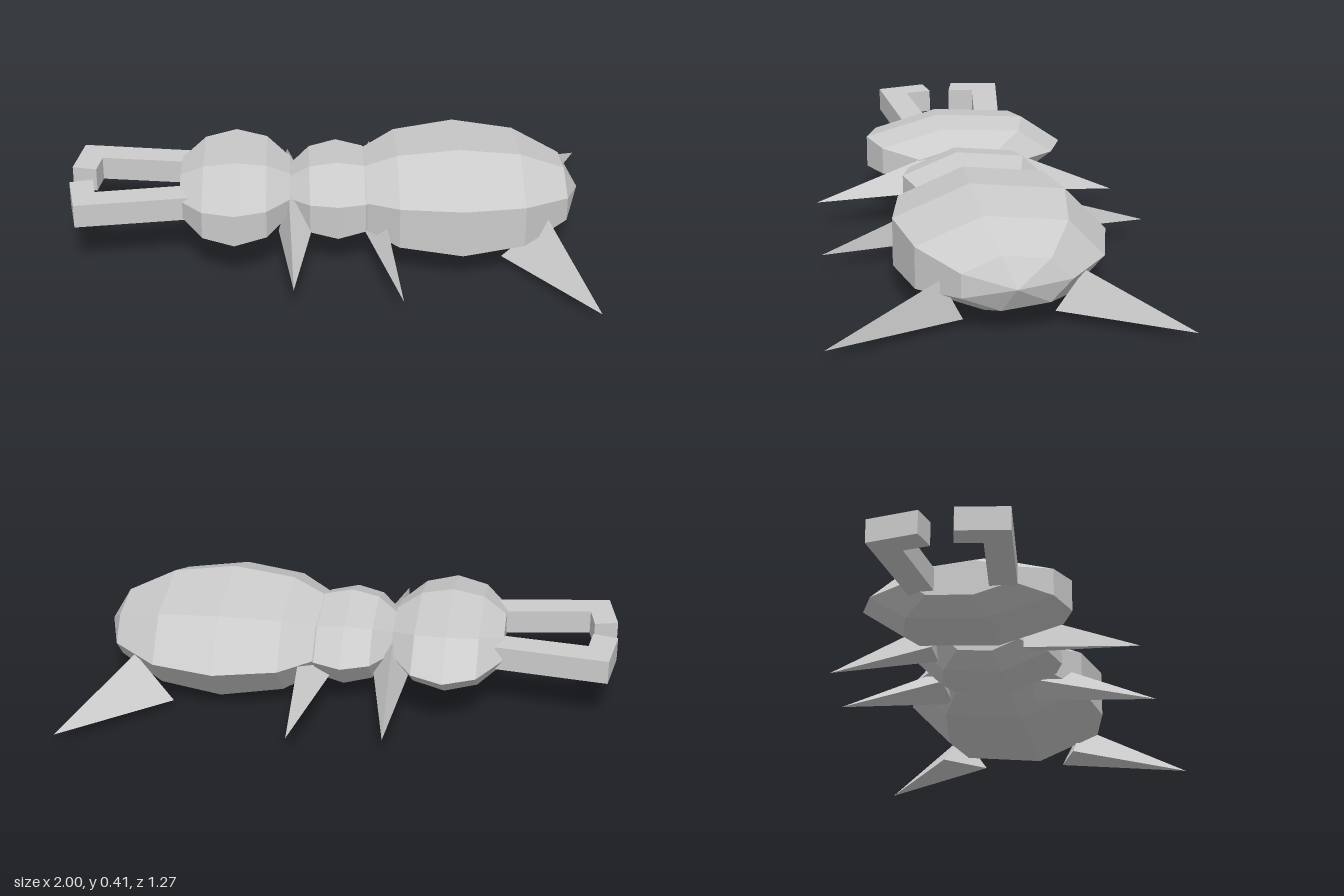
import * as THREE from 'three';
import { ConvexGeometry } from 'three/addons/geometries/ConvexGeometry.js';

const material = new THREE.MeshStandardMaterial({ color: 0xcccccc, flatShading: true });

// Seven-sided faceted ellipsoid lying along x; cap is the reach of its poles
function bodySegment(name, center, radii, cap) {
  const profile = [
    [0, -cap[0]], [0.5, -0.87], [0.866, -0.5], [1, 0], [0.866, 0.5], [0.5, 0.87], [0, cap[1]],
  ].map(([r, y]) => new THREE.Vector2(r, y));
  const geometry = new THREE.LatheGeometry(profile, 7, Math.PI);
  geometry.rotateZ(-Math.PI / 2).scale(...radii).translate(...center);
  const mesh = new THREE.Mesh(geometry, material);
  mesh.name = name;
  return mesh;
}

// Three-sided spike from a buried base triangle to its tip
function spikeLeg(name, tip, base) {
  const points = [tip, ...base].map((p) => new THREE.Vector3(...p));
  const mesh = new THREE.Mesh(new ConvexGeometry(points), material);
  mesh.name = name;
  return mesh;
}

// Hooked jaw outlined in (x, z), extruded downwards
function mandible(name, outline) {
  const shape = new THREE.Shape(outline.map(([x, z]) => new THREE.Vector2(x, z)));
  const geometry = new THREE.ExtrudeGeometry(shape, { depth: 0.09, bevelEnabled: false });
  geometry.rotateX(Math.PI / 2).translate(0, 0.282, 0);
  const mesh = new THREE.Mesh(geometry, material);
  mesh.name = name;
  return mesh;
}

export function createModel() {
  const model = new THREE.Group();
  model.name = 'ant';

  // Body
  model.add(
    bodySegment('head', [-0.38, 0.232, -0.02], [0.235, 0.14, 0.405], [0.87, 0.87]),
    bodySegment('thorax', [0, 0.208, -0.02], [0.205, 0.15, 0.3], [0.87, 0.87]),
    bodySegment('abdomen', [0.454, 0.208, -0.02], [0.46, 0.21, 0.405], [1, 1]),
  );

  // Jaws
  model.add(
    mandible('leftMandible', [
      [-0.45, 0.165], [-0.968, 0.227], [-1, 0.04], [-0.914, 0.02], [-0.898, 0.12], [-0.45, 0.063],
    ]),
    mandible('rightMandible', [
      [-0.45, -0.197], [-0.968, -0.27], [-1, -0.083], [-0.909, -0.06], [-0.893, -0.157], [-0.45, -0.1],
    ]),
  );

  // Legs: tip, then base triangle
  const legs = [
    ['leftFrontLeg', [-0.166, 0.115, 0.564], [[-0.18, 0.27, 0.14], [-0.22, 0.12, 0.14], [-0.09, 0.16, 0.17]]],
    ['leftMiddleLeg', [0.225, 0.07, 0.58], [[0.165, 0.23, 0.15], [0.09, 0.13, 0.12], [0.16, 0.07, 0.12]]],
    ['leftRearLeg', [0.925, 0.04, 0.633], [[0.775, 0.2, 0.22], [0.61, 0.035, 0.205], [0.755, 0.035, 0.14]]],
    ['rightFrontLeg', [-0.187, 0.09, -0.596], [[-0.18, 0.27, -0.2], [-0.24, 0.14, -0.2], [-0.11, 0.14, -0.2]]],
    ['rightMiddleLeg', [0.15, 0.098, -0.64], [[0.16, 0.24, -0.2], [0.05, 0.13, -0.22], [0.18, 0.09, -0.2]]],
    ['rightRearLeg', [0.995, 0.04, -0.628], [[0.77, 0.2, -0.28], [0.62, 0.04, -0.33], [0.77, 0.05, -0.18]]],
  ];
  for (const [name, tip, base] of legs) model.add(spikeLeg(name, tip, base));

  return model;
}
